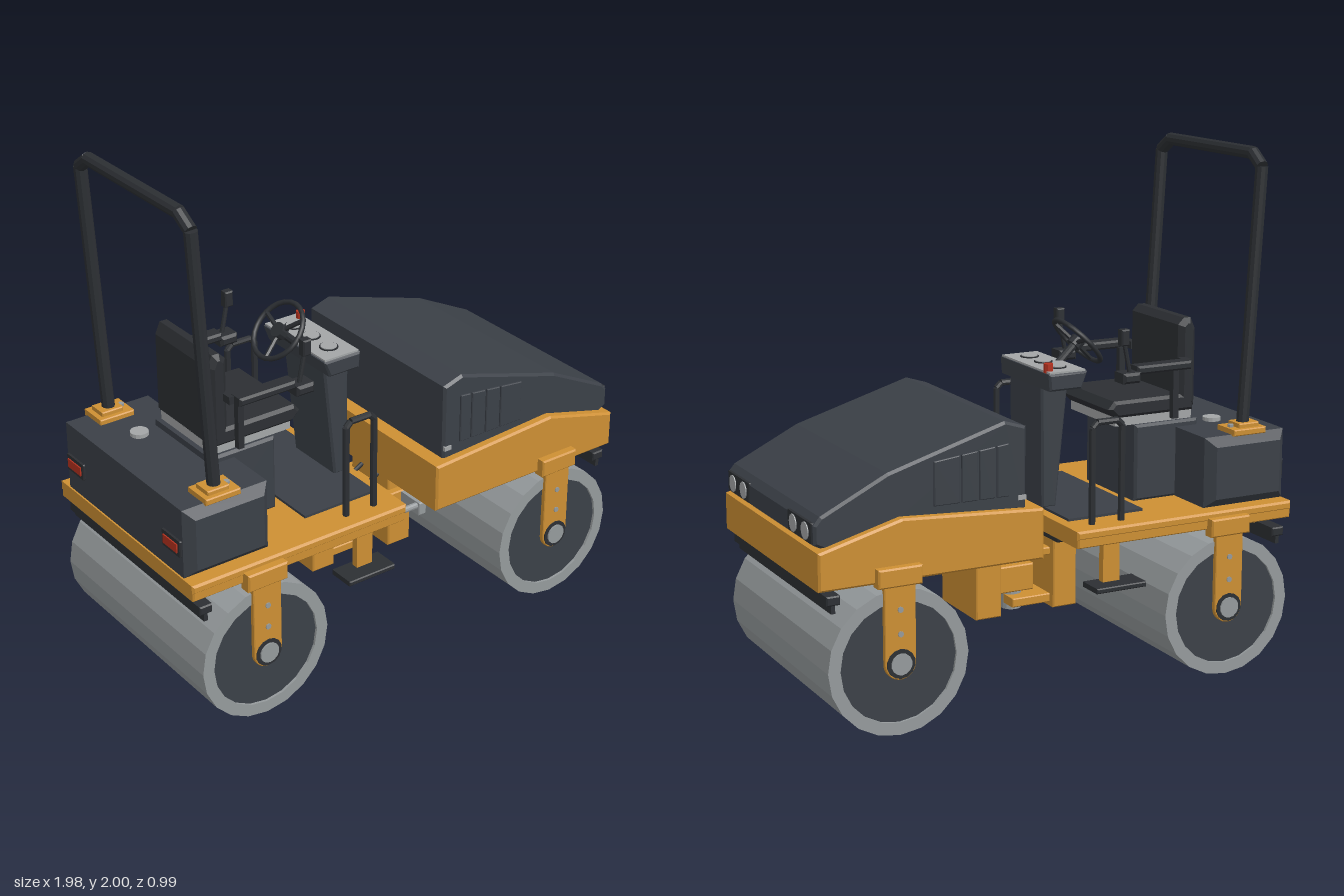
import * as THREE from 'three';

const mat = (name, color) => Object.assign(new THREE.MeshStandardMaterial({ color }), { name });

export function createModel() {
  const yellow = mat('yellow paint', 0xcd8f33), dark = mat('charcoal panel', 0x3b4047);
  const black = mat('black rubber', 0x2c2f33), steel = mat('steel', 0x959a9c);
  const grey = mat('light grey', 0xa3a6a7), red = mat('red', 0xb5321f);
  const root = new THREE.Group();
  root.name = 'tandemRoller';

  const add = (name, geo, m, parent = root) => {
    const mesh = new THREE.Mesh(geo, m);
    mesh.name = name;
    parent.add(mesh);
    return mesh;
  };
  const facet = (geo) => {
    const g = geo.toNonIndexed();
    g.computeVertexNormals();
    return g;
  };
  // Side outline in x/y, extruded across z with chamfered edges
  const extrude = (name, shape, z0, z1, m, c) => {
    const geo = new THREE.ExtrudeGeometry(shape, {
      depth: z1 - z0 - 2 * c, bevelEnabled: c > 0, bevelThickness: c, bevelSize: c,
      bevelOffset: -c, bevelSegments: 1, curveSegments: 8,
    });
    geo.translate(0, 0, z0 + c);
    return add(name, geo, m);
  };
  const profile = (name, pts, z0, z1, m, c) =>
    extrude(name, new THREE.Shape(pts.map(([x, y]) => new THREE.Vector2(x, y))), z0, z1, m, c);
  const box = (name, x0, x1, y0, y1, z0, z1, m, c = 0) =>
    profile(name, [[x0, y0], [x1, y0], [x1, y1], [x0, y1]], z0, z1, m, c);
  // Straight round bar between two points
  const rod = (name, a, b, r, m, seg = 10, parent = root) => {
    const A = new THREE.Vector3(...a), B = new THREE.Vector3(...b), d = B.clone().sub(A);
    const mesh = add(name, facet(new THREE.CylinderGeometry(r, r, d.length(), seg)), m, parent);
    mesh.position.copy(A).add(B).multiplyScalar(0.5);
    mesh.quaternion.setFromUnitVectors(new THREE.Vector3(0, 1, 0), d.normalize());
  };
  const pipe = (name, pts, r, m, seg) => {
    for (let i = 1; i < pts.length; i++) rod(name, pts[i - 1], pts[i], r, m, seg);
  };
  // Box from z0 to z1 on the left side and its mirror on the right
  const SIDES = [1, -1];
  const pairBox = (name, x0, x1, y0, y1, z0, z1, m, c) => SIDES.forEach((s) =>
    box(name, x0, x1, y0, y1, s > 0 ? z0 : -z1, s > 0 ? z1 : -z0, m, c));

  // Drums with their forks and scrapers
  for (const e of SIDES) {
    const x = 0.685 * e, y = 0.275;
    const ring = [[0.225, -0.455], [0.225, -0.47], [0.272, -0.47], [0.272, 0.47], [0.225, 0.47], [0.225, 0.455]];
    const drum = add('drum', facet(new THREE.LatheGeometry(ring.map((p) => new THREE.Vector2(...p)), 20)), steel);
    drum.rotation.x = Math.PI / 2;
    drum.position.set(x, y, 0);
    rod('drumEndPlate', [x, y, -0.46], [x, y, 0.46], 0.228, dark, 20);
    for (const s of SIDES) {
      const arm = new THREE.Shape();
      arm.moveTo(x + 0.06, 0.57);
      arm.lineTo(x - 0.06, 0.57);
      arm.absarc(x, y, 0.06, Math.PI, 2 * Math.PI, false);
      extrude('forkArm', arm, s > 0 ? 0.462 : -0.484, s > 0 ? 0.484 : -0.462, yellow, 0.003);
      rod('hubRing', [x, y, s * 0.47], [x, y, s * 0.488], 0.055, black, 14);
      rod('hub', [x, y, s * 0.47], [x, y, s * 0.494], 0.04, steel, 14);
      for (const by of [0.385, 0.475]) rod('forkBolt', [x, by, s * 0.47], [x, by, s * 0.489], 0.011, steel, 8);
      box('scraperBracket', e > 0 ? 0.9 : -0.94, e > 0 ? 0.94 : -0.87, 0.545, 0.59, s * 0.3 - 0.04, s * 0.3 + 0.04, yellow);
    }
    pairBox('forkBracket', x - 0.085, x + 0.085, 0.56, 0.63, 0.44, 0.494, yellow, 0.006);
    box('scraperBar', 0.925 * e - 0.026, 0.925 * e + 0.026, 0.515, 0.55, -0.455, 0.455, black, 0.005);
    box('scraperBlade', 0.925 * e - 0.008, 0.925 * e + 0.008, 0.485, 0.52, -0.45, 0.45, black);
  }

  // Operator deck: plate with a downturned rim
  box('deckPlate', -0.98, -0.04, 0.615, 0.65, -0.46, 0.46, yellow, 0.008);
  pairBox('deckRim', -0.975, -0.045, 0.585, 0.63, 0.425, 0.457, yellow, 0.004);
  box('deckRim', -0.978, -0.94, 0.585, 0.63, -0.455, 0.455, yellow, 0.004);
  box('deckRim', -0.08, -0.042, 0.585, 0.63, -0.455, 0.455, yellow, 0.004);
  box('floorMat', -0.4, -0.08, 0.645, 0.66, -0.315, 0.315, dark);
  box('underTray', -0.44, -0.09, 0.54, 0.62, -0.22, 0.22, black, 0.008);

  // Steps and grab rails
  pairBox('step', -0.32, -0.11, 0.41, 0.43, 0.37, 0.484, black, 0.004);
  pairBox('stepHanger', -0.24, -0.17, 0.43, 0.6, 0.39, 0.42, yellow);
  for (const s of SIDES) {
    const z = 0.385 * s;
    pipe('grabRail', [[-0.265, 0.65, z], [-0.265, 1.015, z], [-0.245, 1.035, z], [-0.16, 1.035, z],
      [-0.14, 1.015, z], [-0.14, 0.65, z]], 0.013, black, 8);
  }

  // Rear tank
  box('rearTank', -0.975, -0.62, 0.652, 0.925, -0.43, 0.43, dark, 0.035);
  rod('fillerCap', [-0.805, 0.92, -0.155], [-0.805, 0.94, -0.155], 0.035, grey, 14);
  for (const s of SIDES) {
    box('tailLampBezel', -0.984, -0.96, 0.735, 0.8, s * 0.33 - 0.06, s * 0.33 + 0.06, black, 0.004);
    box('tailLamp', -0.989, -0.983, 0.75, 0.785, s * 0.33 - 0.045, s * 0.33 + 0.045, red);
  }

  // Roll bar
  for (const s of SIDES) {
    const z = 0.355 * s;
    box('rollBarFoot', -0.885, -0.74, 0.92, 0.945, z - 0.06, z + 0.06, yellow, 0.004);
    box('rollBarSocket', -0.865, -0.775, 0.94, 0.962, z - 0.04, z + 0.04, yellow, 0.004);
    rod('footBolt', [-0.762, 0.94, z], [-0.762, 0.955, z], 0.012, steel, 8);
    pipe('rollBar', [[-0.815, 0.95, z], [-0.873, 1.93, z], [-0.876, 1.975, 0.29 * s]], 0.025, black);
  }
  rod('rollBarTop', [-0.876, 1.975, -0.295], [-0.876, 1.975, 0.295], 0.025, black);

  // Seat
  box('seatBase', -0.72, -0.44, 0.65, 0.95, -0.19, 0.19, dark, 0.01);
  box('seatSuspension', -0.7, -0.36, 0.95, 0.987, -0.17, 0.17, grey);
  profile('seatCushion', [[-0.7, 0.985], [-0.36, 0.985], [-0.325, 1.02], [-0.35, 1.05], [-0.7, 1.05]], -0.19, 0.19, black, 0.012);
  profile('seatBack', [[-0.71, 1.0], [-0.635, 1.0], [-0.635, 1.32], [-0.66, 1.345], [-0.69, 1.345], [-0.71, 1.3]], -0.19, 0.19, black, 0.02);
  pairBox('armrest', -0.64, -0.4, 1.165, 1.197, 0.205, 0.27, black, 0.008);
  pairBox('armrestPost', -0.615, -0.59, 0.965, 1.17, 0.19, 0.215, black);
  pairBox('armrestHinge', -0.66, -0.63, 1.165, 1.195, 0.17, 0.23, black);
  pairBox('controlPod', -0.405, -0.33, 1.138, 1.178, 0.205, 0.288, black, 0.01);
  for (const s of SIDES) {
    rod('leverStem', [-0.375, 1.17, 0.25 * s], [-0.35, 1.29, 0.25 * s], 0.009, black, 8);
    box('leverGrip', -0.365, -0.33, 1.28, 1.342, 0.25 * s - 0.018, 0.25 * s + 0.018, black, 0.005);
  }

  // Steering console
  profile('consoleColumn', [[-0.13, 0.655], [-0.07, 0.655], [-0.065, 1.14], [-0.18, 1.14]], -0.13, 0.13, dark, 0.008);
  profile('consoleHead', [[-0.2, 1.12], [-0.065, 1.12], [-0.06, 1.185], [-0.225, 1.185]], -0.2, 0.2, dark, 0.008);
  box('dashPanel', -0.218, -0.066, 1.184, 1.192, -0.192, 0.192, grey);
  for (const z of [-0.11, 0, 0.11]) {
    rod('gaugeRim', [-0.142, 1.19, z], [-0.142, 1.196, z], 0.036, black, 16);
    rod('gaugeFace', [-0.142, 1.19, z], [-0.142, 1.199, z], 0.031, grey, 16);
  }
  rod('stopButton', [-0.08, 1.185, -0.155], [-0.08, 1.22, -0.155], 0.018, red, 10);

  // Steering wheel
  const wheel = new THREE.Group();
  wheel.name = 'steeringWheel';
  wheel.position.set(-0.29, 1.26, 0);
  wheel.quaternion.setFromUnitVectors(new THREE.Vector3(0, 0, 1), new THREE.Vector3(-0.74, 0.68, 0).normalize());
  add('wheelRim', new THREE.TorusGeometry(0.115, 0.01, 8, 24), black, wheel);
  for (let i = 0; i < 3; i++) {
    const a = (i * 2 * Math.PI) / 3;
    rod('wheelSpoke', [0, 0, -0.01], [0.115 * Math.cos(a), 0.115 * Math.sin(a), 0], 0.009, black, 6, wheel);
  }
  rod('wheelHub', [0, 0, -0.025], [0, 0, 0.008], 0.03, black, 12, wheel);
  root.add(wheel);
  rod('steeringShaft', [-0.29, 1.26, 0], [-0.19, 1.165, 0], 0.016, black);

  // Engine frame and hood
  profile('engineFrame', [[0.1, 0.57], [0.98, 0.57], [0.98, 0.71], [0.66, 0.795], [0.1, 0.76]], -0.46, 0.46, yellow, 0.008);
  profile('hood', [[0.155, 0.755], [0.66, 0.78], [0.94, 0.71], [0.98, 0.73], [0.98, 0.8], [0.955, 0.83], [0.7, 0.955],
    [0.24, 1.09], [0.155, 1.063]], -0.425, 0.425, dark, 0.01);
  for (const s of SIDES) {
    // Side vents
    const z0 = s > 0 ? 0.42 : -0.433, z1 = s > 0 ? 0.433 : -0.42;
    for (const [a, b] of [[0.23, 0.276], [0.284, 0.346], [0.354, 0.416], [0.424, 0.525]])
      profile('ventSlat', [[a, 0.815], [b, 0.815], [b, 1.035 - 0.11 * b], [a, 1.035 - 0.11 * a]], z0, z1, dark, 0.003);
    box('hoodLatch', 0.158, 0.19, 0.795, 0.812, s * 0.425 - 0.006, s * 0.425 + 0.006, grey);
    // Headlamps
    box('headlampBezel', 0.94, 0.984, 0.733, 0.808, s * 0.3 - 0.11, s * 0.3 + 0.11, black, 0.004);
    for (const z of [0.245, 0.355]) rod('headlamp', [0.97, 0.77, s * z], [0.988, 0.77, s * z], 0.032, grey, 14);
  }
  box('bellyPlate', 0.25, 0.47, 0.553, 0.575, -0.3, 0.3, black);

  // Articulated joint
  box('rearHitch', -0.225, -0.125, 0.25, 0.6, -0.12, 0.12, yellow, 0.005);
  box('hitchLowerPlate', -0.13, 0.035, 0.265, 0.3, -0.09, 0.09, yellow, 0.004);
  box('hitchUpperPlate', -0.13, 0.035, 0.455, 0.485, -0.09, 0.09, yellow, 0.004);
  rod('pivotPin', [-0.003, 0.24, 0], [-0.003, 0.5, 0], 0.04, steel, 14);
  box('pivotBlock', -0.065, 0.12, 0.32, 0.425, -0.07, 0.07, yellow, 0.005);
  box('frontHitch', 0.115, 0.22, 0.26, 0.49, -0.15, 0.15, yellow, 0.005);
  box('frontHitchMount', 0.135, 0.25, 0.485, 0.58, -0.12, 0.12, yellow, 0.005);
  rod('steeringCylinder', [-0.18, 0.468, 0.245], [0.04, 0.468, 0.245], 0.024, black, 12);
  rod('steeringRod', [0.03, 0.468, 0.245], [0.19, 0.468, 0.245], 0.013, steel, 10);
  box('rodEnd', 0.175, 0.21, 0.43, 0.485, 0.14, 0.265, steel, 0.004);
  box('cylinderMount', -0.21, -0.165, 0.44, 0.5, 0.11, 0.265, yellow, 0.004);
  rod('lockBar', [0.005, 0.5, 0], [0.14, 0.5, -0.2], 0.01, black, 8);
  for (const z of [-0.05, 0.05]) {
    const hose = new THREE.CatmullRomCurve3([[-0.12, 0.55], [-0.03, 0.515], [0.06, 0.5], [0.17, 0.55]]
      .map(([x, y]) => new THREE.Vector3(x, y, z)));
    add('hose', new THREE.TubeGeometry(hose, 14, 0.009, 6), black);
  }
  return root;
}
